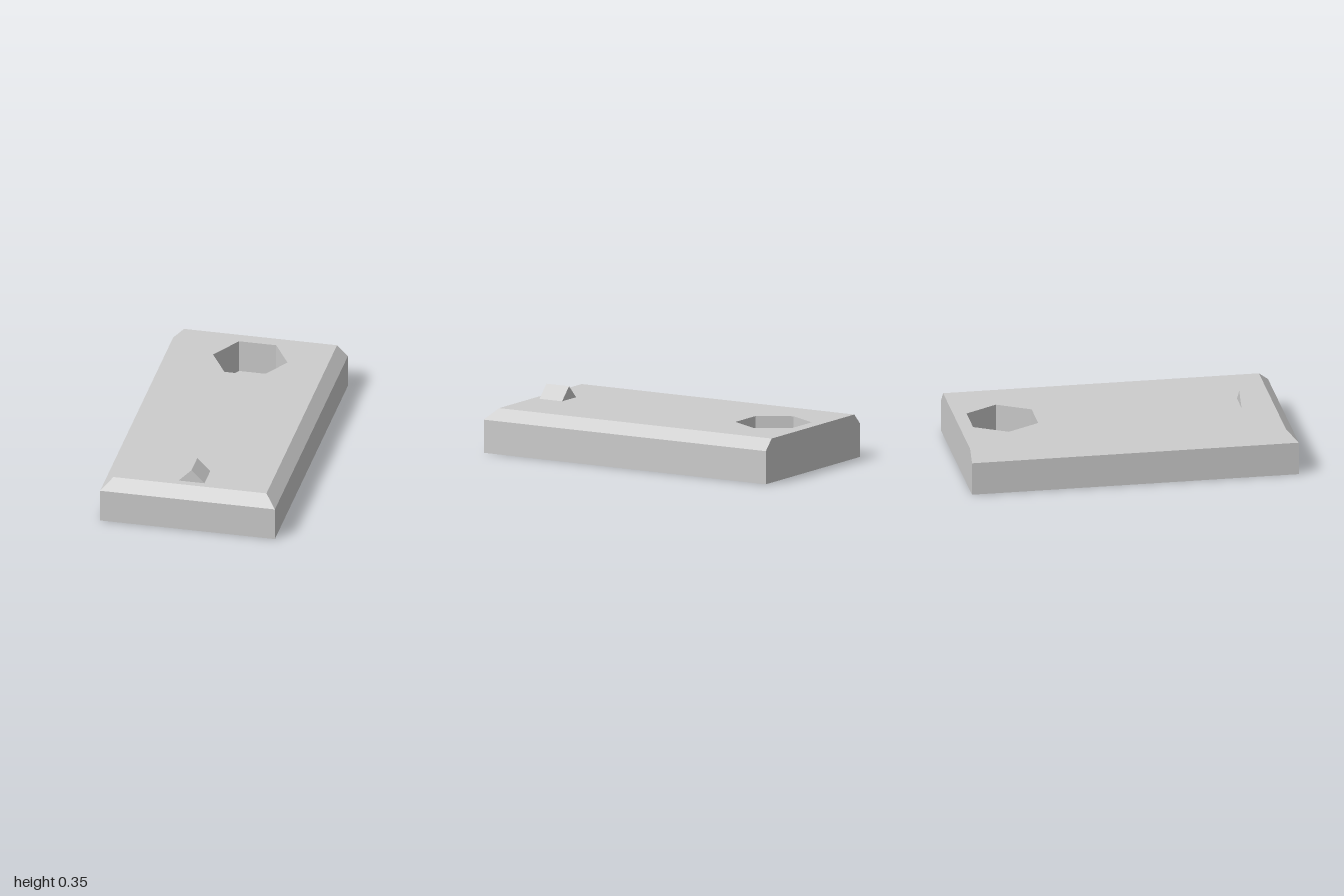
import * as THREE from 'three';

const W = 0.54, TOP = 0.27, CHAMFER = 0.067, SHOULDER = TOP - CHAMFER;
const HOLE_Z = -0.72, HEX_R = 0.23, BORE_R = 0.123, FLOOR = 0.067, SEGMENTS = 48;

const v2 = (x, y) => new THREE.Vector2(x, y);

// Regular polygon in plan, given as (x, -z)
function polygon(radius, sides) {
  return Array.from({ length: sides }, (_, i) => {
    const a = (i / sides) * Math.PI * 2;
    return v2(radius * Math.cos(a), radius * Math.sin(a) - HOLE_Z);
  });
}

// Flat horizontal face with a hole, facing up or down
function plate(outline, hole, y, up = true) {
  const flip = up ? 1 : -1;
  const place = pts => pts.map(p => v2(p.x, p.y * flip));
  const shape = new THREE.Shape(place(outline));
  shape.holes.push(new THREE.Path(place(hole)));
  return new THREE.ShapeGeometry(shape).rotateX(-flip * Math.PI / 2).translate(0, y, 0);
}

// Rectangle in plan, inset at the front and both sides but not at the back
const outline = inset => [
  v2(-W + inset, -1 + inset), v2(W - inset, -1 + inset),
  v2(W - inset, 1), v2(-W + inset, 1),
];

// Flat quads joining two outlines
function band(lower, y0, upper, y1) {
  const pos = [];
  lower.forEach((a, i) => {
    const j = (i + 1) % lower.length;
    const b = lower[j], c = upper[j], d = upper[i];
    const A = [a.x, y0, -a.y], B = [b.x, y0, -b.y], C = [c.x, y1, -c.y], D = [d.x, y1, -d.y];
    pos.push(...A, ...B, ...C, ...A, ...C, ...D);
  });
  const g = new THREE.BufferGeometry();
  g.setAttribute('position', new THREE.Float32BufferAttribute(pos, 3));
  g.computeVertexNormals();
  return g;
}

// Inward-facing wall of a vertical hole
const holeWall = (r, y0, y1, sides) =>
  new THREE.LatheGeometry([v2(r, y1), v2(r, y0)], sides, Math.PI / 2).translate(0, 0, HOLE_Z);

export function createModel() {
  const group = new THREE.Group();
  const grey = new THREE.MeshStandardMaterial({ color: 0xcccccc });
  grey.name = 'light grey';
  const add = (name, geometry) => {
    const mesh = new THREE.Mesh(geometry, grey);
    mesh.name = name;
    group.add(mesh);
  };

  const hex = polygon(HEX_R, 6), bore = polygon(BORE_R, SEGMENTS);
  const base = outline(0), rim = outline(CHAMFER);

  // Slab
  add('sideWalls', band(base, 0, base, SHOULDER));
  add('chamfers', band(base, SHOULDER, rim, TOP));
  add('topFace', plate(rim, hex, TOP));
  add('bottomFace', plate(base, bore, 0, false));

  // Hexagonal recess with a round through-hole
  const hexWall = holeWall(HEX_R, FLOOR, TOP, 6).toNonIndexed();
  hexWall.computeVertexNormals();
  add('hexRecessWall', hexWall);
  add('hexRecessFloor', plate(hex, bore, FLOOR));
  add('boltHole', holeWall(BORE_R, 0, FLOOR, SEGMENTS));

  // Triangular ridge near the front
  const triangle = new THREE.Shape([v2(-0.08, TOP), v2(0.08, TOP), v2(0, 0.35)]);
  add('ridge', new THREE.ExtrudeGeometry(triangle, { depth: 0.16, bevelEnabled: false })
    .translate(0, 0, 0.73));

  return group;
}
